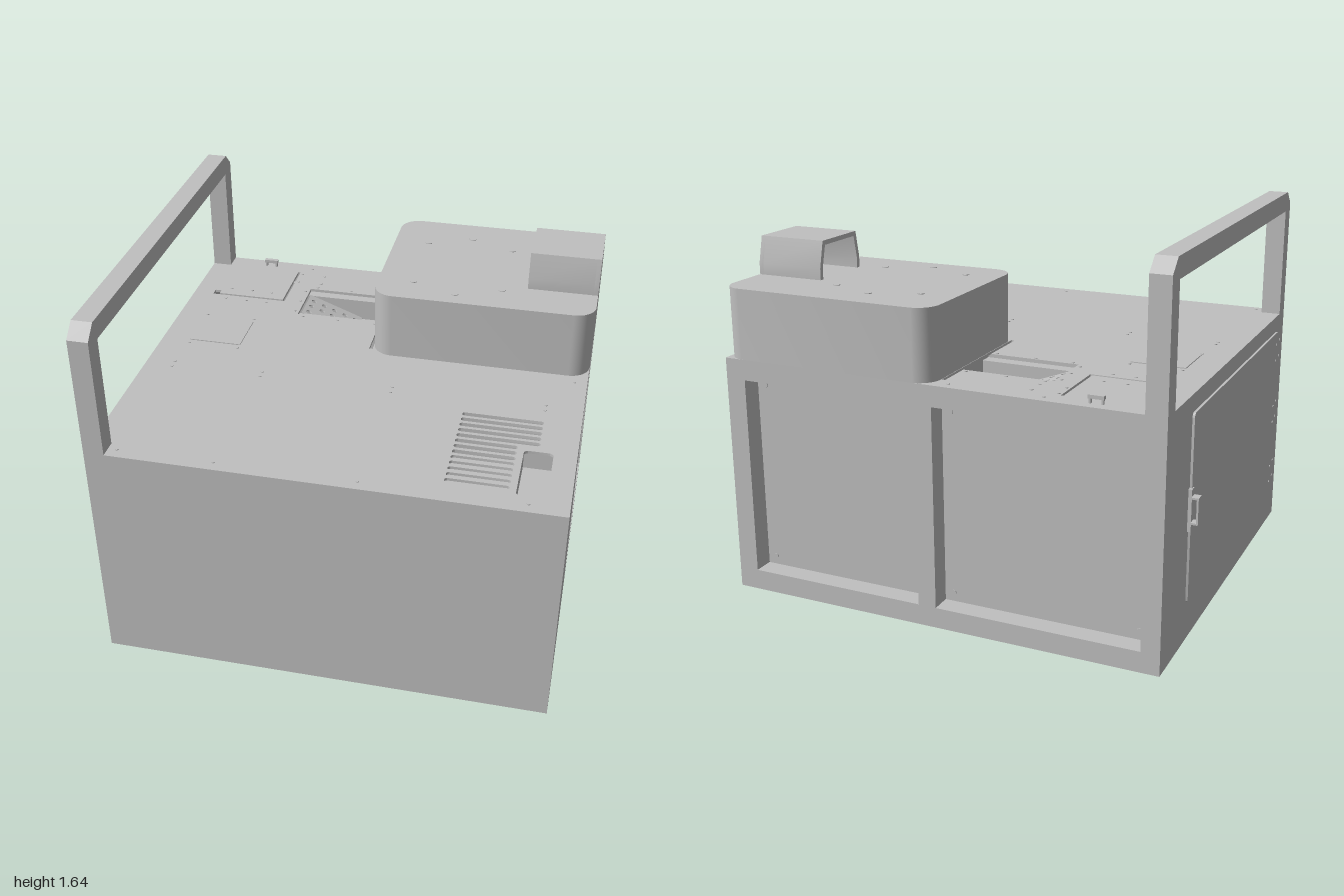
import * as THREE from 'three';
import { toCreasedNormals } from 'three/addons/utils/BufferGeometryUtils.js';

const grey = new THREE.MeshStandardMaterial({ color: 0xbfbfbf });
grey.name = 'light grey';

export function createModel() {
  const model = new THREE.Group();
  model.name = 'machineBase';

  const add = (name, geo) => {
    const m = new THREE.Mesh(geo, grey);
    m.name = name;
    model.add(m);
    return m;
  };
  // Box given by its limits
  const box = (name, x0, x1, y0, y1, z0, z1) => add(name,
    new THREE.BoxGeometry(x1 - x0, y1 - y0, z1 - z0)
      .translate((x0 + x1) / 2, (y0 + y1) / 2, (z0 + z1) / 2));

  // Outlines: rectangle with rounded corners, and polygon
  const rect = (x0, x1, y0, y1, r = 0) => {
    const s = new THREE.Shape();
    if (!r) {
      s.moveTo(x0, y0); s.lineTo(x1, y0); s.lineTo(x1, y1); s.lineTo(x0, y1); s.closePath();
      return s;
    }
    s.moveTo(x0 + r, y0);
    s.lineTo(x1 - r, y0); s.absarc(x1 - r, y0 + r, r, -Math.PI / 2, 0);
    s.lineTo(x1, y1 - r); s.absarc(x1 - r, y1 - r, r, 0, Math.PI / 2);
    s.lineTo(x0 + r, y1); s.absarc(x0 + r, y1 - r, r, Math.PI / 2, Math.PI);
    s.lineTo(x0, y0 + r); s.absarc(x0 + r, y0 + r, r, Math.PI, Math.PI * 1.5);
    return s;
  };
  const poly = (pts) => new THREE.Shape(pts.map(([x, y]) => new THREE.Vector2(x, y)));
  const circle = (x, y, r) => new THREE.Shape().absarc(x, y, r, 0, Math.PI * 2);
  const extrude = (shape, holes, depth) => {
    shape.holes.push(...holes);
    return toCreasedNormals(
      new THREE.ExtrudeGeometry(shape, { depth, bevelEnabled: false, curveSegments: 8 }), 0.5);
  };
  // Horizontal plate drawn in (x, -z); side plate drawn in (-z, y)
  const flat = (name, shape, holes, y, depth) =>
    add(name, extrude(shape, holes, depth).rotateX(-Math.PI / 2).translate(0, y, 0));
  const side = (name, shape, holes, x, depth) =>
    add(name, extrude(shape, holes, depth).rotateY(Math.PI / 2).translate(x, 0, 0));
  const topRect = (x0, x1, z0, z1, r) => rect(x0, x1, -z1, -z0, r);

  const L = -0.955, R = 1, T = 0.09, H = 1.043, TOP = 1.055;

  // Body walls with deep window openings
  box('frontWall', L, R, 0, H, 0.9 - T, 0.9);
  add('backWall', extrude(rect(L, R, 0, H),
    [rect(0.1, 0.91, 0.09, 0.965), rect(-0.875, 0.02, 0.09, 0.965)], T).translate(0, 0, -0.9));
  side('leftWall', rect(-0.81, 0.81, 0, H), [rect(-0.13, 0.805, 0.095, 0.965)], R - T, T);
  box('rightWall', L, L + T, 0, H, -0.81, 0.81);
  flat('floorPlate', topRect(L + T, R - T, -0.81, 0.81),
    [topRect(-0.86, -0.55, -0.43, -0.07)], 0, 0.03);

  // Panels closing the openings from inside
  box('backPanelLeft', 0.06, 0.91, 0.05, 1, -0.81, -0.79);
  box('backPanelRight', -0.865, 0.05, 0.05, 1, -0.81, -0.79);
  box('sidePanel', 0.89, 0.91, 0.05, 1, -0.79, 0.17);
  box('sidePanelFlangeTop', 0.91, 0.918, 0.49, 0.955, 0.085, 0.13);
  box('sidePanelFlangeBottom', 0.91, 0.918, 0.105, 0.485, 0.085, 0.13);

  // Shaft above the floor opening
  box('shaftWall', -0.864, -0.855, 0.03, 1, -0.44, -0.06);
  box('shaftWall', -0.55, -0.54, 0.03, 1, -0.44, -0.06);
  box('shaftWall', -0.855, -0.55, 0.03, 1, -0.44, -0.43);
  box('shaftWall', -0.855, -0.55, 0.03, 1, -0.07, -0.06);

  // Top plate with vents, tray, recess and hatch gap
  const topHoles = [
    topRect(0.785, 0.905, 0.5, 0.805, 0.02),
    poly([[0.002, 0.81], [0.018, 0.81], [0.018, 0.15], [0.002, 0.15],
      [0.002, 0.39], [-0.4, 0.39], [-0.4, 0.65], [0.002, 0.65]]),
    poly([[-0.508, 0.81], [-0.496, 0.81], [-0.496, 0.5], [-0.86, 0.5], [-0.86, 0.54],
      [-0.83, 0.54], [-0.83, 0.512], [-0.508, 0.512]]),
  ];
  for (let i = 0; i < 13; i++) {
    const z = 0.29 + i * 0.0395;
    topHoles.push(topRect(0.5, i < 5 ? 0.845 : 0.757, z - 0.012, z + 0.012, 0.0115));
  }
  flat('topPlate', topRect(L, R, -0.9, 0.9), topHoles, H, TOP - H);

  // Small tray
  box('trayFloor', 0.775, 0.908, 0.96, 0.97, 0.49, 0.808);
  box('trayWall', 0.775, 0.785, 0.97, H, 0.49, 0.808);
  box('trayWall', 0.785, 0.905, 0.97, H, 0.49, 0.5);

  // Recess with perforated ramp and floor
  const holeZ = [0.57, 0.52, 0.465];
  const grid = (xs) => xs.flatMap((x) => holeZ.map((z) => circle(x, z, 0.013)));
  const ramp = flat('perforatedRamp', rect(0, 0.28, 0.435, 0.615),
    grid([0.03, 0.085, 0.14, 0.195, 0.25]), 0, 0.006);
  ramp.rotation.z = -0.36;
  ramp.position.set(-0.395, 1.035, 0);
  flat('perforatedFloor', rect(-0.133, 0.02, 0.435, 0.615), grid([-0.1, -0.05, 0]), 0.93, 0.006);
  for (const [z0, z1] of [[-0.66, -0.615], [-0.435, -0.38]])
    box('recessLedge', -0.41, 0.02, 0.92, 1.036, z0, z1);
  box('recessEnd', 0.02, 0.04, 0.9, H, -0.66, -0.38);

  // Cabinet with rounded corners, and a hood open at one end
  flat('cabinet', topRect(0.02, R, -0.9, -0.11, 0.09), [], TOP, 0.305);
  side('hood', poly([[0.31, 1.36], [0.31, 1.41], [0.333, 1.525], [0.595, 1.525], [0.623, 1.41],
    [0.623, 1.36], [0.603, 1.36], [0.603, 1.41], [0.578, 1.505], [0.35, 1.505],
    [0.33, 1.41], [0.33, 1.36]]), [], 0.69, 0.29);
  side('hoodEnd', poly([[0.31, 1.36], [0.623, 1.36], [0.623, 1.41], [0.595, 1.525],
    [0.333, 1.525], [0.31, 1.41]]), [], 0.98, 0.02);
  // Hood and cabinet meet flush along the straight part of the side

  // Guard rail with chamfered corners
  side('guardRail', poly([[-0.9, TOP], [-0.815, TOP], [-0.815, 1.55], [0.815, 1.55], [0.815, TOP],
    [0.9, TOP], [0.9, 1.58], [0.84, 1.637], [-0.84, 1.637], [-0.9, 1.58]]), [], L, 0.088);

  // Hatch details on the top
  box('squareCover', -0.825, -0.585, TOP, 1.059, -0.27, -0.05);
  box('hatchLatch', -0.692, -0.625, 1.075, 1.09, -0.86, -0.84);
  for (const x of [-0.688, -0.637]) box('latchFoot', x, x + 0.008, TOP, 1.075, -0.857, -0.843);

  // Side door with bow handle and hinge bolts
  side('door', rect(-0.775, 0.59, 0.17, 0.98, 0.02), [], L - 0.01, 0.01);
  box('latchPlate', -0.97, L, 0.49, 0.67, -0.605, -0.575);
  box('doorHandleGrip', -1, -0.992, 0.525, 0.64, -0.612, -0.572);
  for (const y of [0.525, 0.632]) box('doorHandleArm', -0.992, -0.97, y, y + 0.008, -0.612, -0.572);

  // Bolts
  const bolt = (x, y, z, r, axis) => {
    const g = new THREE.CylinderGeometry(r, r, 0.006, 12);
    if (axis === 'x') g.rotateZ(Math.PI / 2);
    if (axis === 'z') g.rotateX(Math.PI / 2);
    add('bolt', g.translate(x, y, z));
  };
  for (const x of [-0.83, -0.42, 0.17, 0.84])
    for (const z of [0.15, 0.19, 0.85]) bolt(x, TOP, z, 0.007);
  for (const x of [-0.82, -0.59]) for (const z of [-0.295, -0.025]) bolt(x, TOP, z, 0.007);
  for (const x of [-0.785, -0.68, -0.58]) for (const z of [-0.57, -0.47]) bolt(x, TOP, z, 0.007);
  for (const x of [-0.37, -0.2, -0.02]) for (const z of [-0.67, -0.375]) bolt(x, TOP, z, 0.007);
  for (const z of [-0.62, -0.52, -0.42]) bolt(-0.42, TOP, z, 0.007);
  for (const [x, z] of [[-0.445, -0.855], [-0.035, -0.855], [-0.48, -0.79], [-0.48, -0.71],
    [-0.365, -0.79], [-0.365, -0.71], [0.945, -0.06]]) bolt(x, TOP, z, 0.007);
  for (const [x, z] of [[0.18, -0.67], [0.38, -0.75], [0.58, -0.67],
    [0.18, -0.27], [0.38, -0.19], [0.58, -0.27]]) bolt(x, 1.36, z, 0.016);
  for (const y of [0.13, 0.925]) {
    for (const z of [0.095, -0.77]) bolt(z > 0 ? 0.919 : 0.911, y, z, 0.011, 'x');
    for (const x of [0.14, 0.87, -0.02, -0.84]) bolt(x, y, -0.811, 0.011, 'z');
  }
  for (const y of [0.22, 0.3, 0.53, 0.61, 0.84, 0.92]) {
    bolt(L - 0.01, y, 0.745, 0.007, 'x');
    bolt(L, y, 0.84, 0.007, 'x');
  }
  return model;
}
